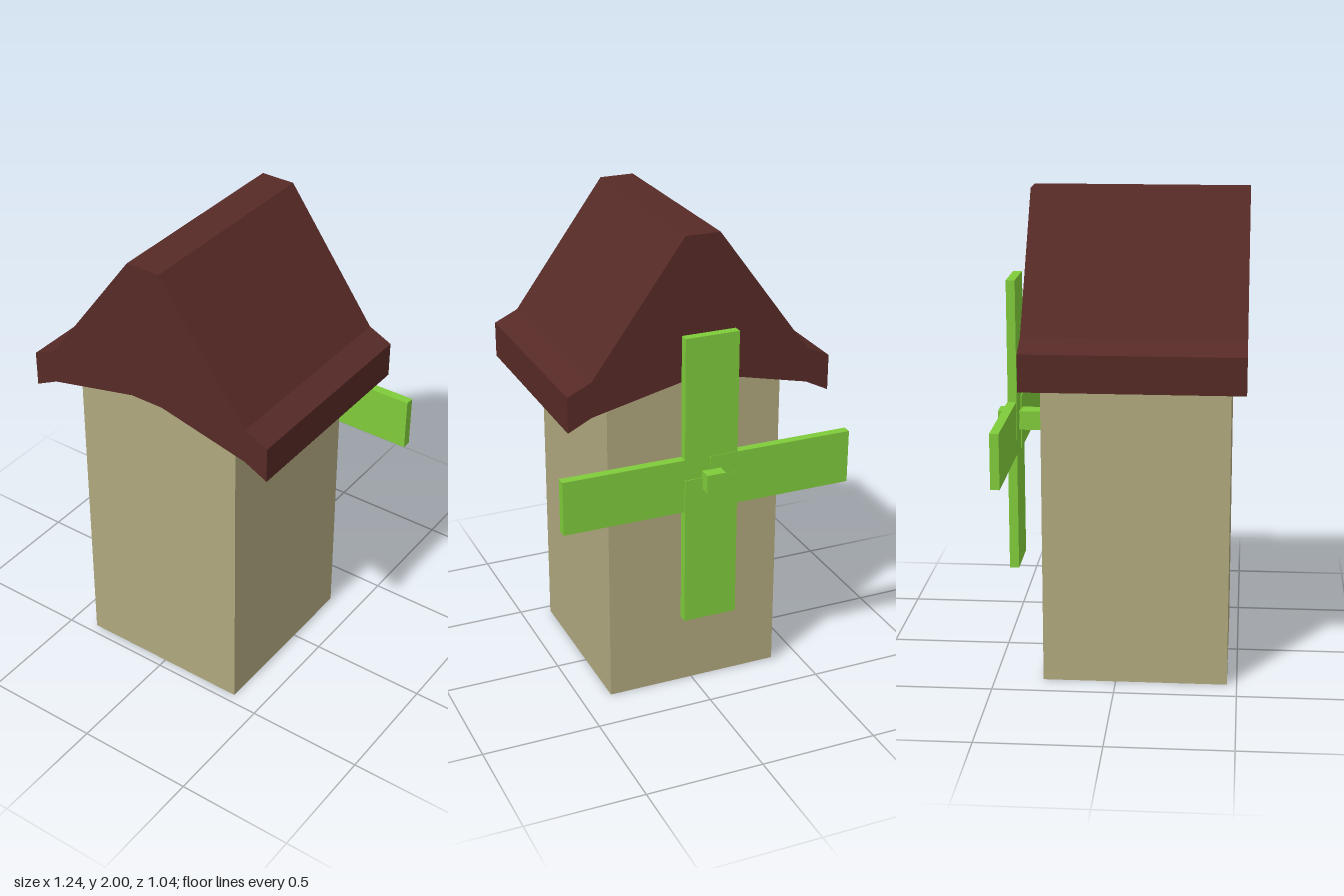
import * as THREE from 'three';

const material = (color) => new THREE.MeshStandardMaterial({ color, flatShading: true });

// Box given by its extents on each axis
function box(name, mat, [x0, x1], [y0, y1], [z0, z1]) {
  const mesh = new THREE.Mesh(new THREE.BoxGeometry(x1 - x0, y1 - y0, z1 - z0), mat);
  mesh.position.set((x0 + x1) / 2, (y0 + y1) / 2, (z0 + z1) / 2);
  mesh.name = name;
  return mesh;
}

export function createModel() {
  const group = new THREE.Group();
  group.name = 'windmill';
  const wall = material(0xb0a87e);
  const roofing = material(0x562a26);
  const green = material(0x80cc3b);

  // Square tower, its top hidden inside the roof
  group.add(box('tower', wall, [-0.385, 0.37], [0, 1.42], [-0.3, 0.46]));

  // Gabled roof with flared eaves: half profile mirrored about the ridge
  const ridgeX = -0.0075;
  const half = [[0.073, 1.41], [0.463, 1.32], [0.563, 1.27], [0.563, 1.42], [0.463, 1.467], [0.073, 2]];
  const profile = [
    ...half.map(([x, y]) => new THREE.Vector2(ridgeX + x, y)),
    ...half.toReversed().map(([x, y]) => new THREE.Vector2(ridgeX - x, y)),
  ];
  const roof = new THREE.Mesh(
    new THREE.ExtrudeGeometry(new THREE.Shape(profile), { depth: 0.885, bevelEnabled: false }),
    roofing
  );
  roof.position.z = -0.365;
  roof.name = 'roof';
  group.add(roof);

  // Rotor on the back: axle and four flat blades
  const rotor = new THREE.Group();
  rotor.name = 'rotor';
  rotor.add(
    box('axle', green, [-0.046, 0.034], [0.98, 1.06], [-0.521, -0.29]),
    box('topBlade', green, [-0.12, 0.108], [1.01, 1.628], [-0.468, -0.431]),
    box('bottomBlade', green, [-0.12, 0.108], [0.392, 1.03], [-0.471, -0.432]),
    box('leftBlade', green, [0, 0.62], [0.89, 1.117], [-0.466, -0.427]),
    box('rightBlade', green, [-0.622, 0], [0.89, 1.117], [-0.47, -0.433])
  );
  group.add(rotor);
  return group;
}
